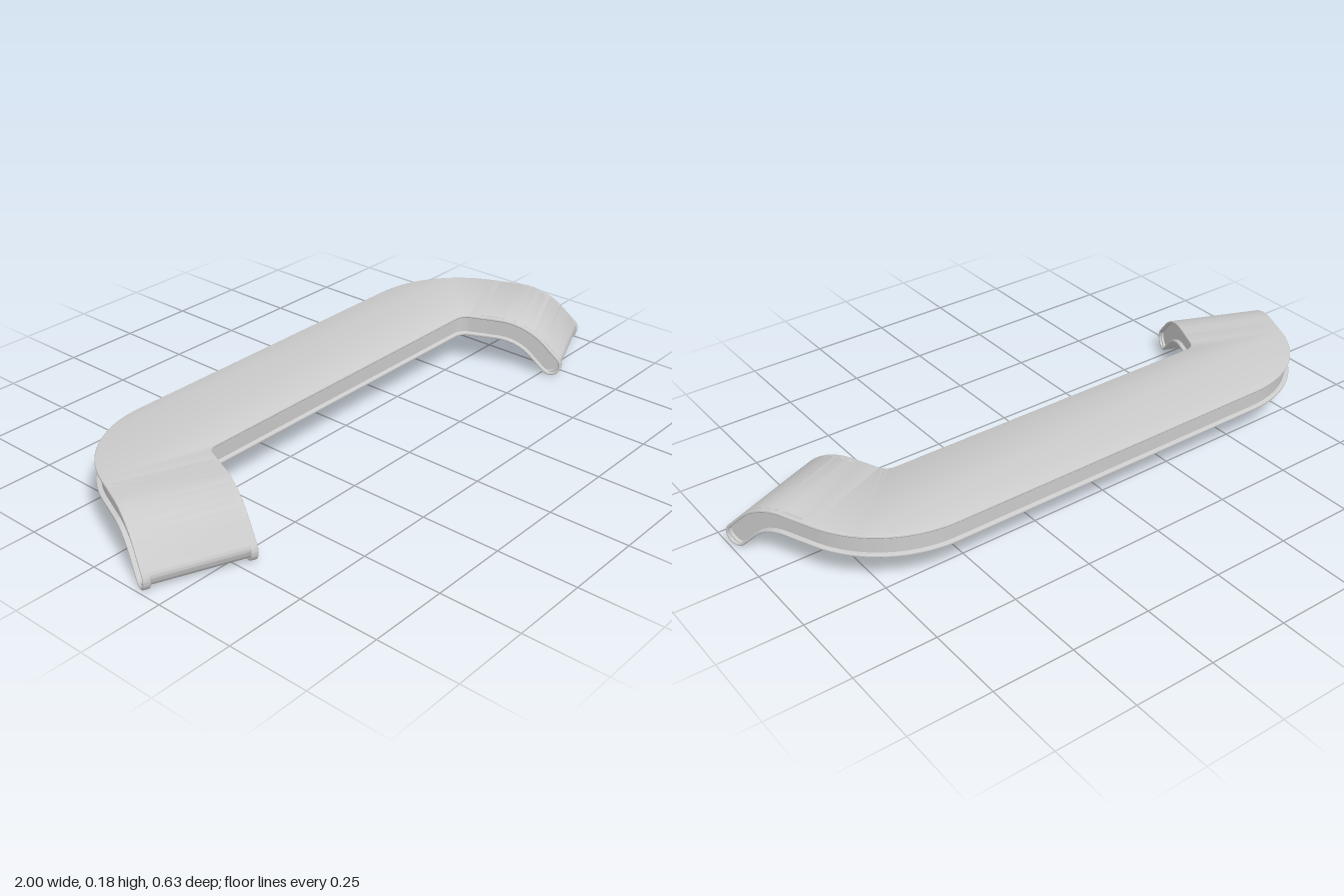
import * as THREE from 'three';
import { toCreasedNormals } from 'three/addons/utils/BufferGeometryUtils.js';

const material = new THREE.MeshStandardMaterial({ color: 0xcccccc });

// Plan: two nearly concentric corner arcs, then legs splayed along D (C points across the leg)
const TURN = THREE.MathUtils.degToRad(22.65);
const D = new THREE.Vector2(Math.sin(TURN), Math.cos(TURN));
const C = new THREE.Vector2(Math.cos(TURN), -Math.sin(TURN));
const OUTER = 0.848, INNER = 0.531;   // leg edges measured along C
const CORNER_X = 0.55;

// Section: mid height, half depth, bend radius, centre of the rounded leg end
const MID = 0.139, HALF = 0.036, BEND = 0.19;
const END = new THREE.Vector2(0.528, 0.036);
const Q = Math.SQRT1_2;
const BEND_START = END.x - (MID - END.y) - BEND * (2 * Q - 1);
const BEAD = 0.004;                   // rounding of the skin edges
const WALL_INSET = 0.014;

function addMesh(parent, name, geometry) {
  const mesh = new THREE.Mesh(toCreasedNormals(geometry, 0.65), material);
  mesh.name = name;
  parent.add(mesh);
  return mesh;
}

// Plan outline in x and z, inset from the edge, cut square across the legs at distance s
function planShape(inset, s) {
  const half = new THREE.Path();
  half.absarc(CORNER_X, 0.041, 0.356 - inset, -Math.PI / 2, -TURN, false);
  for (const c of [OUTER - inset, INNER + inset]) {
    half.lineTo(D.x * s + C.x * c, D.y * s + C.y * c);
  }
  half.absarc(CORNER_X, 0.045, 0.04 + inset, -TURN, -Math.PI / 2, true);
  const right = half.getPoints(24);
  const left = right.map(p => new THREE.Vector2(-p.x, p.y)).reverse();
  return new THREE.Shape([...right, ...left]);
}

// Horizontal slab whose top lies at the given height
function slab(shape, top, depth, bevel) {
  const geometry = new THREE.ExtrudeGeometry(shape, {
    depth, bevelEnabled: bevel > 0, bevelSize: bevel, bevelThickness: bevel, bevelSegments: 4,
  });
  return geometry.rotateX(Math.PI / 2).translate(0, top - bevel, 0);
}

// Side profile of a leg: over the top, round the end and back underneath
function legProfile(off, recess, start) {
  const pts = [new THREE.Vector2(start, MID + off)];
  const arc = (r, a) => pts.push(new THREE.Vector2(
    BEND_START + r * Math.sin(a), MID - BEND + r * Math.cos(a)));
  const n = 20;
  for (let i = 0; i <= n; i++) arc(BEND + off, i / n * Math.PI / 4);
  for (let i = 0; i <= n; i++) {
    const a = i / n * Math.PI;
    const across = off * Math.cos(a), along = (off - recess) * Math.sin(a);
    pts.push(new THREE.Vector2(END.x + Q * (across + along), END.y + Q * (across - along)));
  }
  for (let i = n; i >= 0; i--) arc(BEND - off, i / n * Math.PI / 4);
  pts.push(new THREE.Vector2(start, MID - off));
  // drop points that coincide where the curves meet
  return pts.filter((p, i) => i === 0 || p.distanceTo(pts[i - 1]) > 1e-5);
}

// Thin sheet following the leg profile
function bandShape(recess) {
  const outer = legProfile(HALF - BEAD, recess, 0.29);
  const inner = legProfile(HALF - BEAD - 0.001, recess, 0.29);
  return new THREE.Shape([...outer, ...inner.reverse()]);
}

// Extrude a side profile across a leg between c0 and c1; side is 1 for left, -1 for right
function acrossLeg(shape, c0, c1, bevel, side) {
  const geometry = new THREE.ExtrudeGeometry(shape, {
    depth: c1 - c0 - 2 * bevel, bevelEnabled: bevel > 0,
    bevelSize: bevel, bevelThickness: bevel, bevelSegments: 4,
  });
  const along = new THREE.Vector3(side * D.x, 0, D.y);
  const up = new THREE.Vector3(0, 1, 0);
  const width = new THREE.Vector3().crossVectors(along, up);
  const start = side > 0 ? c1 - bevel : c0 + bevel;
  const matrix = new THREE.Matrix4().makeBasis(along, up, width);
  matrix.setPosition(side * C.x * start, 0, C.y * start);
  return geometry.applyMatrix4(matrix);
}

export function createModel() {
  const model = new THREE.Group();
  model.name = 'curvedBar';

  // Flat middle: top and bottom skins with rounded edges and a recessed wall between them
  const skin = planShape(BEAD, 0.31);
  addMesh(model, 'topSkin', slab(skin, MID + HALF, 0.001, BEAD));
  addMesh(model, 'bottomSkin', slab(skin, MID - HALF + 2 * BEAD + 0.001, 0.001, BEAD));
  const core = HALF - BEAD;
  addMesh(model, 'recessedWall', slab(planShape(WALL_INSET, 0.31), MID + core, 2 * core, 0));

  // Legs bending down to a rounded end
  for (const side of [1, -1]) {
    const leg = new THREE.Group();
    leg.name = side > 0 ? 'leftLeg' : 'rightLeg';
    const recess = 0.009, rim = 0.022;
    addMesh(leg, 'legSkin', acrossLeg(bandShape(recess), INNER + 0.006, OUTER - 0.006, BEAD, side));
    addMesh(leg, 'innerRim', acrossLeg(bandShape(0), INNER, INNER + rim, BEAD, side));
    addMesh(leg, 'outerRim', acrossLeg(bandShape(0), OUTER - rim, OUTER, BEAD, side));
    const coreShape = new THREE.Shape(legProfile(core, recess, 0.29));
    addMesh(leg, 'legWall', acrossLeg(coreShape, INNER + WALL_INSET, OUTER - WALL_INSET, 0, side));
    model.add(leg);
  }
  return model;
}
